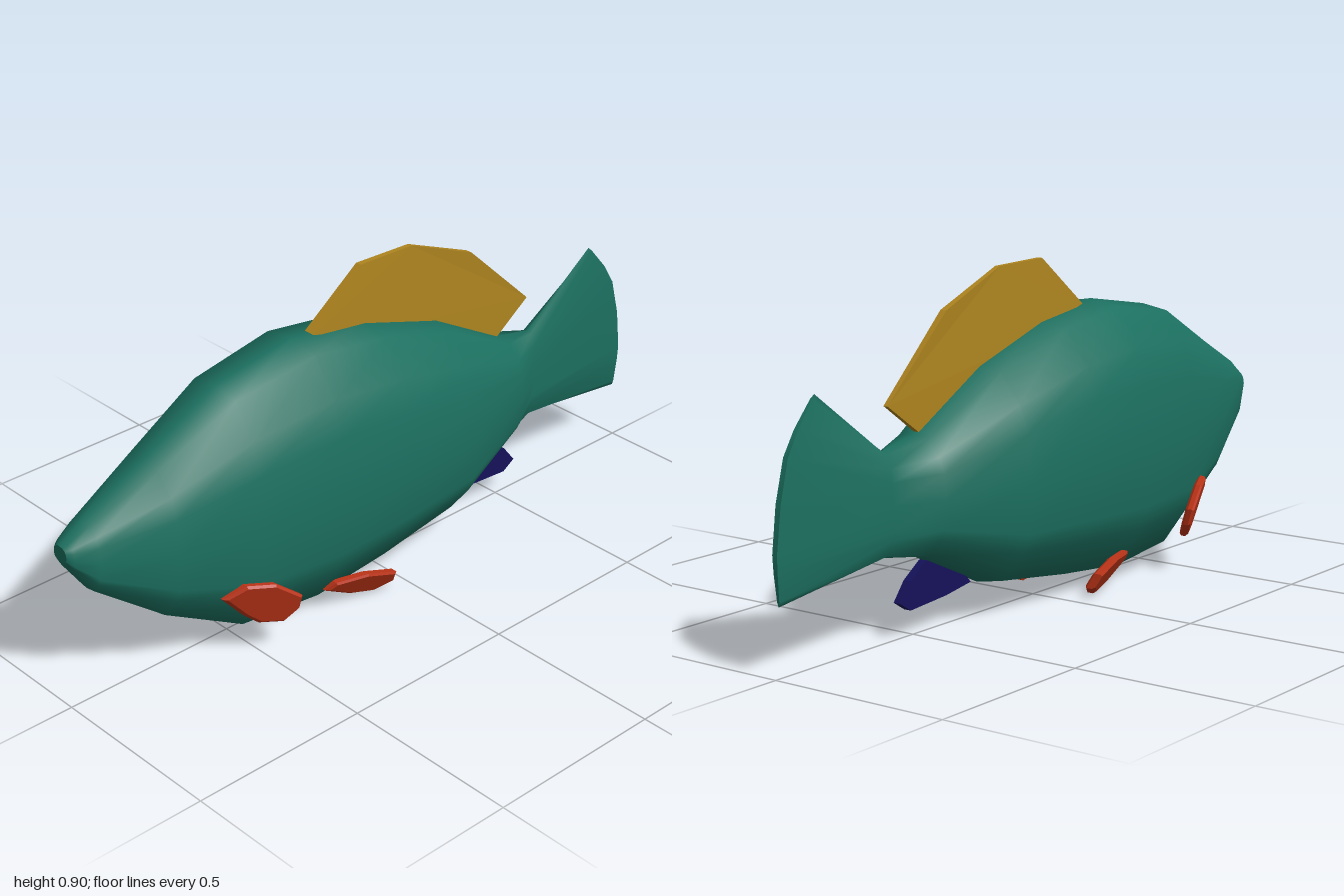
import * as THREE from 'three';

const TEAL = 0x1c7060, GOLD = 0xae841f, RED = 0xbc3418, NAVY = 0x15125a;

// Half cross-section, top to bottom: [width factor, height factor]
const HALF = [[0, 1], [0.44, 0.96], [0.78, 0.69], [0.93, 0.44], [1, 0],
  [0.93, -0.48], [0.8, -0.66], [0.44, -0.95], [0, -1]];
const N = 16;

// Body stations: [x, top, bottom, half width]
const STATIONS = [
  [-1.0, 0.475, 0.43, 0.025], [-0.985, 0.485, 0.405, 0.04], [-0.93, 0.52, 0.325, 0.066],
  [-0.74, 0.61, 0.175, 0.13], [-0.51, 0.73, 0.045, 0.18], [-0.26, 0.77, 0.025, 0.205],
  [-0.02, 0.735, 0.05, 0.205], [0.24, 0.65, 0.085, 0.18], [0.49, 0.51, 0.2, 0.105],
  [0.61, 0.485, 0.22, 0.033], [0.99, 0.66, 0.175, 0.008],
];
// Curved trailing edge of the tail, top to bottom
const TAIL_X = [0.85, 0.86, 0.915, 0.952, 0.98, 0.995, 0.993, 0.986, 0.985];

function mesh(name, geometry, color) {
  const m = new THREE.Mesh(geometry, new THREE.MeshStandardMaterial({ color }));
  m.name = name;
  return m;
}

// Body and tail lofted as one skin
function bodyGeometry() {
  const pos = [], idx = [];
  const addRing = ([x, top, bottom, w], isTail) => {
    for (let i = 0; i < N; i++) {
      const k = i <= 8 ? i : N - i;
      const [u, v] = HALF[k];
      pos.push(isTail ? TAIL_X[k] : x, (top + bottom) / 2 + v * (top - bottom) / 2,
        (i <= 8 ? 1 : -1) * u * w);
    }
  };
  const last = STATIONS.length - 1;
  STATIONS.forEach((s, j) => addRing(s, j === last));
  for (let j = 0; j < last; j++) {
    for (let i = 0; i < N; i++) {
      const a = j * N + i, b = j * N + (i + 1) % N;
      idx.push(a, b, a + N, b, b + N, a + N);
    }
  }
  // End caps with their own vertices, so their rims stay sharp
  const cap = (start, flip) => {
    for (let i = 0; i < 8; i++) {
      const p = start + i, q = p + 1, r = start + (N - i) % N, s = start + N - i - 1;
      for (const [a, b, c] of [[p, q, r], [q, s, r]]) {
        if (a === b || b === c || a === c) continue;
        idx.push(a, flip ? c : b, flip ? b : c);
      }
    }
  };
  addRing(STATIONS[0], false);
  cap((last + 1) * N, true);
  addRing(STATIONS[last], true);
  cap((last + 2) * N, false);
  const g = new THREE.BufferGeometry();
  g.setAttribute('position', new THREE.Float32BufferAttribute(pos, 3));
  g.setIndex(idx);
  g.computeVertexNormals();
  return g;
}

// Thin plate in the xy plane; place(x, y, z) gives each vertex its final z
function fin(name, outline, color, halfThick, bevel, place) {
  const shape = new THREE.Shape(outline.map(([x, y]) => new THREE.Vector2(x, y)));
  const g = new THREE.ExtrudeGeometry(shape, {
    depth: 2 * (halfThick - bevel), bevelEnabled: bevel > 0, bevelThickness: bevel,
    bevelSize: bevel, bevelOffset: -bevel, bevelSegments: 1,
  });
  g.translate(0, 0, bevel - halfThick);
  const p = g.attributes.position;
  for (let i = 0; i < p.count; i++) p.setZ(i, place(p.getX(i), p.getY(i), p.getZ(i)));
  g.computeVertexNormals();
  return mesh(name, g, color);
}

export function createModel() {
  const fish = new THREE.Group();
  fish.name = 'fish';
  fish.add(mesh('bodyAndTail', bodyGeometry(), TEAL));

  // Dorsal fin, thinning upward and toward the tail
  fish.add(fin('dorsalFin', [[-0.2, 0.763], [0, 0.7], [0.24, 0.62], [0.48, 0.515], [0.595, 0.595],
    [0.37, 0.805], [0.15, 0.895], [-0.03, 0.9]], GOLD, 0.016, 0,
  (x, y, z) => z * (1 - 0.6 * THREE.MathUtils.clamp((x + 0.1) / 0.7, 0, 1))
    * (y > 0.85 ? 0.55 : 1)));

  // Anal fin
  fish.add(fin('analFin', [[0.28, 0.095], [0.38, 0.08], [0.52, 0.07], [0.56, 0.095],
    [0.52, 0.145], [0.46, 0.185], [0.38, 0.2]], NAVY, 0.011, 0, (x, y, z) => z));

  // Paired fins, splayed outward on both sides
  for (const [side, s] of [['left', 1], ['right', -1]]) {
    fish.add(fin(side + 'PectoralFin', [[-0.62, 0.215], [-0.56, 0.145], [-0.52, 0.11],
      [-0.46, 0.1], [-0.43, 0.14], [-0.43, 0.185], [-0.5, 0.24], [-0.57, 0.25]], RED, 0.014, 0.007,
    (x, y, z) => z + s * (0.202 + 0.5 * (x + 0.43) + 0.3 * (y - 0.14))));
    fish.add(fin(side + 'PelvicFin', [[-0.26, 0.07], [-0.17, 0.02], [-0.1, 0.003], [-0.05, 0.03],
      [-0.06, 0.07], [-0.15, 0.097], [-0.24, 0.095]], RED, 0.016, 0.007,
    (x, y, z) => z + s * (0.13 + 0.3 * (x + 0.15) + 0.6 * (y - 0.05))));
  }
  return fish;
}
